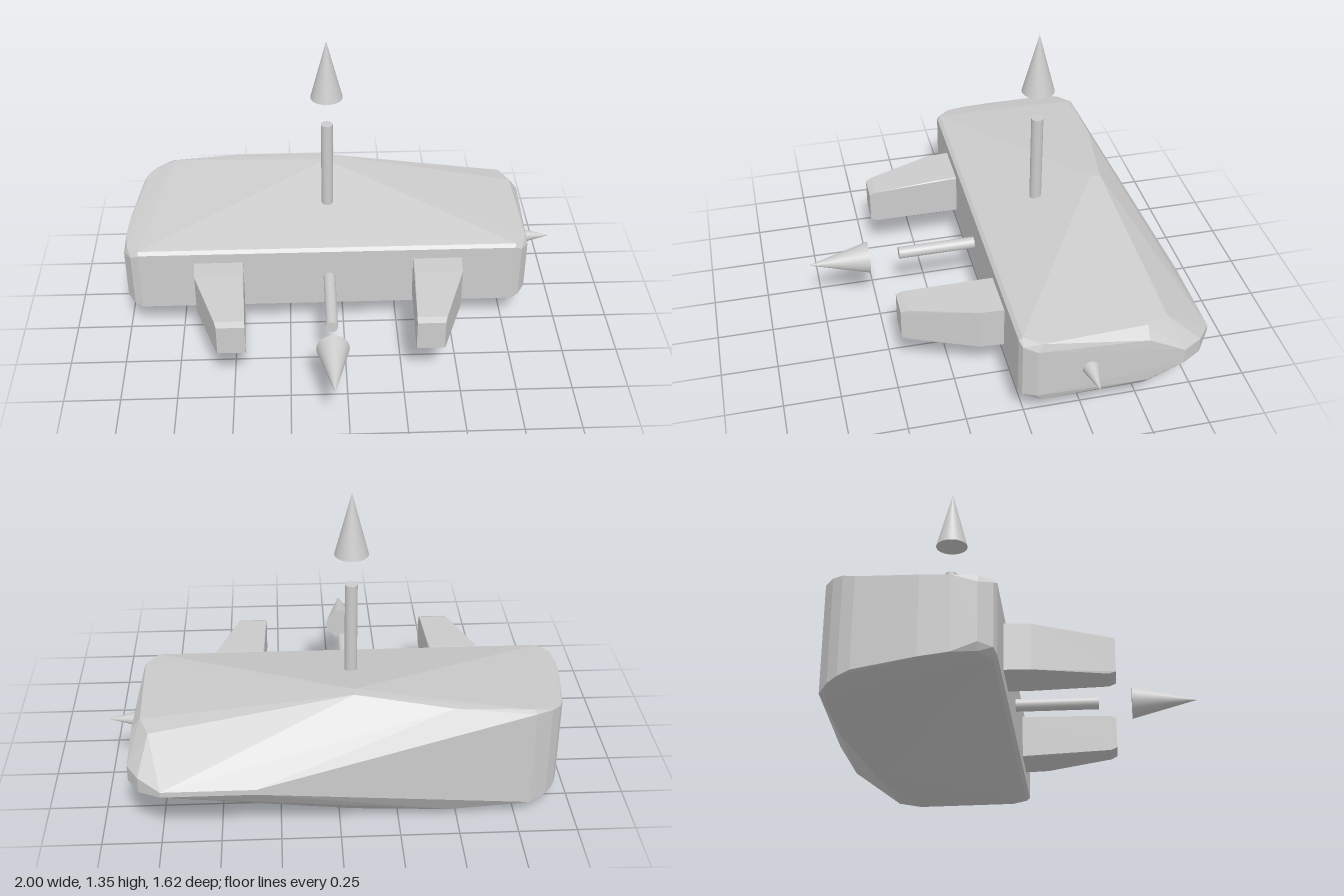
import * as THREE from 'three';
import { ConvexGeometry } from 'three/addons/geometries/ConvexGeometry.js';

const grey = new THREE.MeshStandardMaterial({ color: 0xcccccc });
const MID = 0.295;                                  // height of the symmetry plane
const ORIGIN = new THREE.Vector3(-0.065, MID, -0.255); // where the three arrows meet

// Convex solid from [x, half height, z] corners, mirrored above and below MID
function hull(name, corners) {
  const points = [];
  for (const [x, h, z] of corners)
    for (const s of [-1, 1]) points.push(new THREE.Vector3(x, MID + s * h, z));
  const mesh = new THREE.Mesh(new ConvexGeometry(points), grey);
  mesh.name = name;
  return mesh;
}

// Axis arrow: thin shaft and a separate floating cone, built along +y
function arrow(name) {
  const group = new THREE.Group();
  group.name = name;
  const shaft = new THREE.Mesh(new THREE.CylinderGeometry(0.027, 0.027, 0.43, 32), grey);
  shaft.name = 'shaft';
  shaft.position.y = 0.43;
  const cone = new THREE.Mesh(new THREE.ConeGeometry(0.072, 0.275, 32), grey);
  cone.name = 'arrowhead';
  cone.position.y = 0.9225;
  group.add(shaft, cone);
  group.position.copy(ORIGIN);
  return group;
}

export function createModel() {
  const model = new THREE.Group();
  model.name = 'gripperWithAxes';

  // Faceted palm: flat front, high crease across the middle, wedge-shaped back
  model.add(hull('palm', [
    // front face and its bevel
    [-0.93, 0.145, 0.036], [0.785, 0.145, 0.036],
    [-0.93, 0.158, 0.02], [0.785, 0.158, 0.02],
    [-0.965, 0.13, 0.025], [0.815, 0.13, 0.025],
    // right end wall
    [-1, 0.12, -0.03], [-0.985, 0.152, -0.03], [-0.995, 0.155, -0.13],
    [-0.985, 0.165, -0.25], [-0.945, 0.19, -0.5],
    // rounded rear corner of the right end
    [-0.925, 0.205, -0.55], [-0.885, 0.215, -0.595], [-0.81, 0.225, -0.64],
    [-0.80, 0.237, -0.62],
    // crease and peak
    [-0.47, 0.258, -0.63], [-0.06, 0.293, -0.56], [-0.065, 0.293, -0.515],
    // left end wall
    [0.85, 0.12, -0.03], [0.84, 0.155, -0.05],
    [0.83, 0.162, -0.5], [0.87, 0.11, -0.5], [0.79, 0.155, -0.6],
    // pointed rear edge
    [0.88, 0.035, -0.655], [0.83, 0.035, -0.74],
    [0.735, 0.012, -0.81], [0.35, 0.012, -0.81],
  ]));

  // Two tapered fingers, mirrored about x = -0.07
  for (const [name, side] of [['rightFinger', -1], ['leftFinger', 1]]) {
    model.add(hull(name, [
      [0.61, 0.097, -0.05], [0.39, 0.097, -0.05],
      [0.61, 0.097, 0.03], [0.603, 0.096, 0.14],
      [0.395, 0.097, 0.03], [0.388, 0.096, 0.14],
      [0.503, 0.082, 0.435], [0.373, 0.082, 0.435],
      [0.495, 0.07, 0.463], [0.372, 0.07, 0.463],
    ].map(([x, h, z]) => [-0.07 + side * x, h, z])));
  }

  // Arrows along x, y and z
  const xArrow = arrow('sideArrow');
  xArrow.rotation.z = -Math.PI / 2;
  const zArrow = arrow('frontArrow');
  zArrow.rotation.x = Math.PI / 2;
  model.add(xArrow, arrow('upArrow'), zArrow);

  return model;
}
